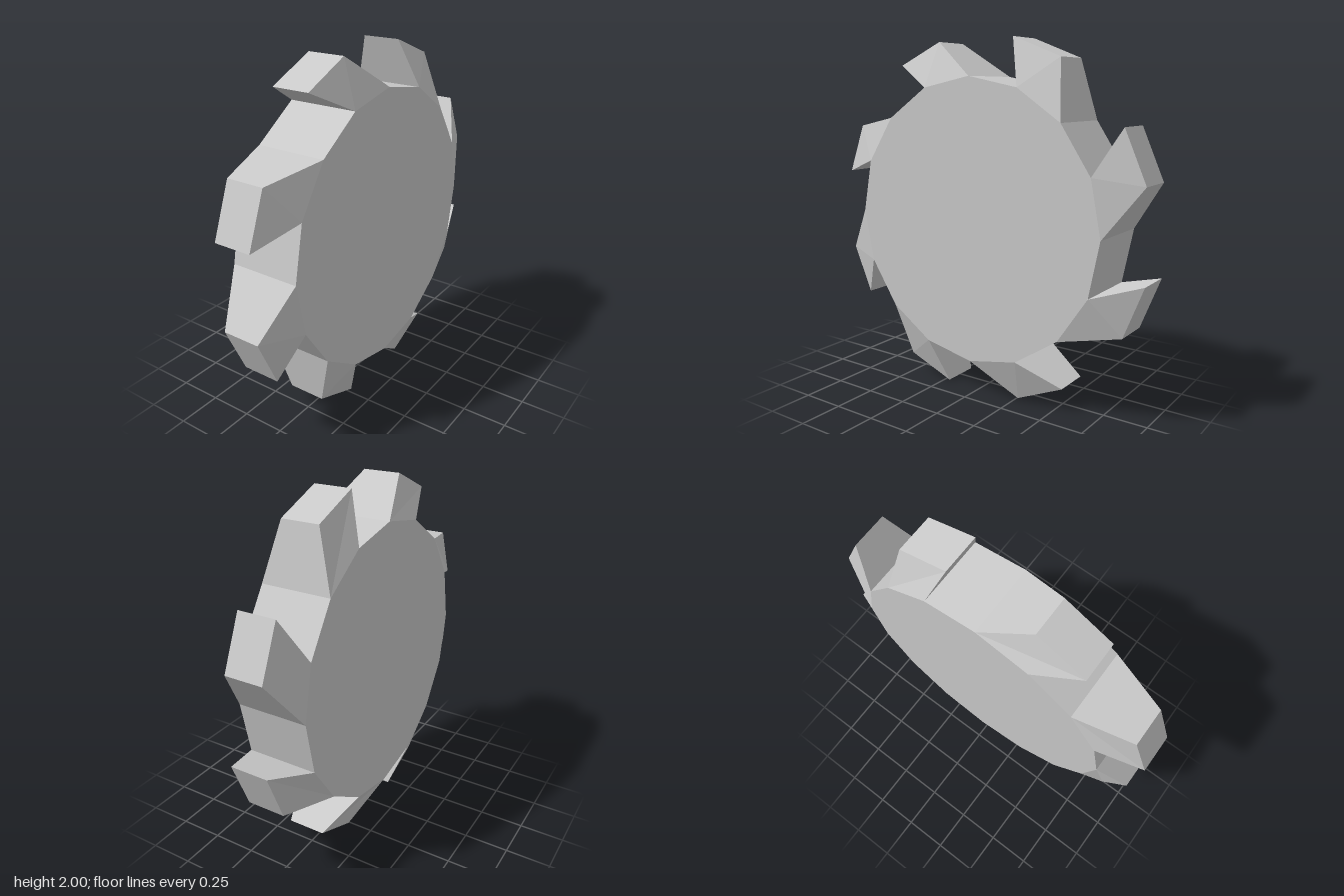
import * as THREE from 'three';

const SIDES = 16;
const STEP = (Math.PI * 2) / SIDES;
const BODY_R = 0.8;
const TIP_R = 1.026;
const BASE_HALF = 0.2;
const TIP_HALF = 0.108;
// The tips lean forward of the facet they grow from
const TIP_START = THREE.MathUtils.degToRad(15.25);
const TIP_END = THREE.MathUtils.degToRad(32.45);

// A box whose corners are moved onto the rim facet and the swept, narrower tip
function toothGeometry() {
  const geo = new THREE.BoxGeometry(2, 2, 2);
  const pos = geo.attributes.position;
  for (let i = 0; i < pos.count; i++) {
    const tip = pos.getY(i) > 0;
    const far = pos.getZ(i) > 0;
    const radius = tip ? TIP_R : BODY_R;
    const angle = tip ? (far ? TIP_END : TIP_START) : (far ? STEP : 0);
    const half = tip ? TIP_HALF : BASE_HALF;
    pos.setXYZ(i, Math.sign(pos.getX(i)) * half, radius * Math.cos(angle), radius * Math.sin(angle));
  }
  geo.computeVertexNormals();
  return geo;
}

export function createModel() {
  const model = new THREE.Group();
  model.name = 'sawToothWheel';
  const material = new THREE.MeshStandardMaterial({ color: 0xcccccc, flatShading: true });

  // Sixteen-sided disc with its axle along x
  const disc = new THREE.Mesh(
    new THREE.CylinderGeometry(BODY_R, BODY_R, BASE_HALF * 2, SIDES), material);
  disc.name = 'disc';
  disc.rotation.z = Math.PI / 2;
  disc.position.y = 1;
  model.add(disc);

  // A swept tooth on every second facet
  const geo = toothGeometry();
  for (let i = 0; i < SIDES / 2; i++) {
    const tooth = new THREE.Mesh(geo, material);
    tooth.name = `tooth${i + 1}`;
    tooth.rotation.x = i * STEP * 2;
    tooth.position.y = 1;
    model.add(tooth);
  }
  return model;
}
